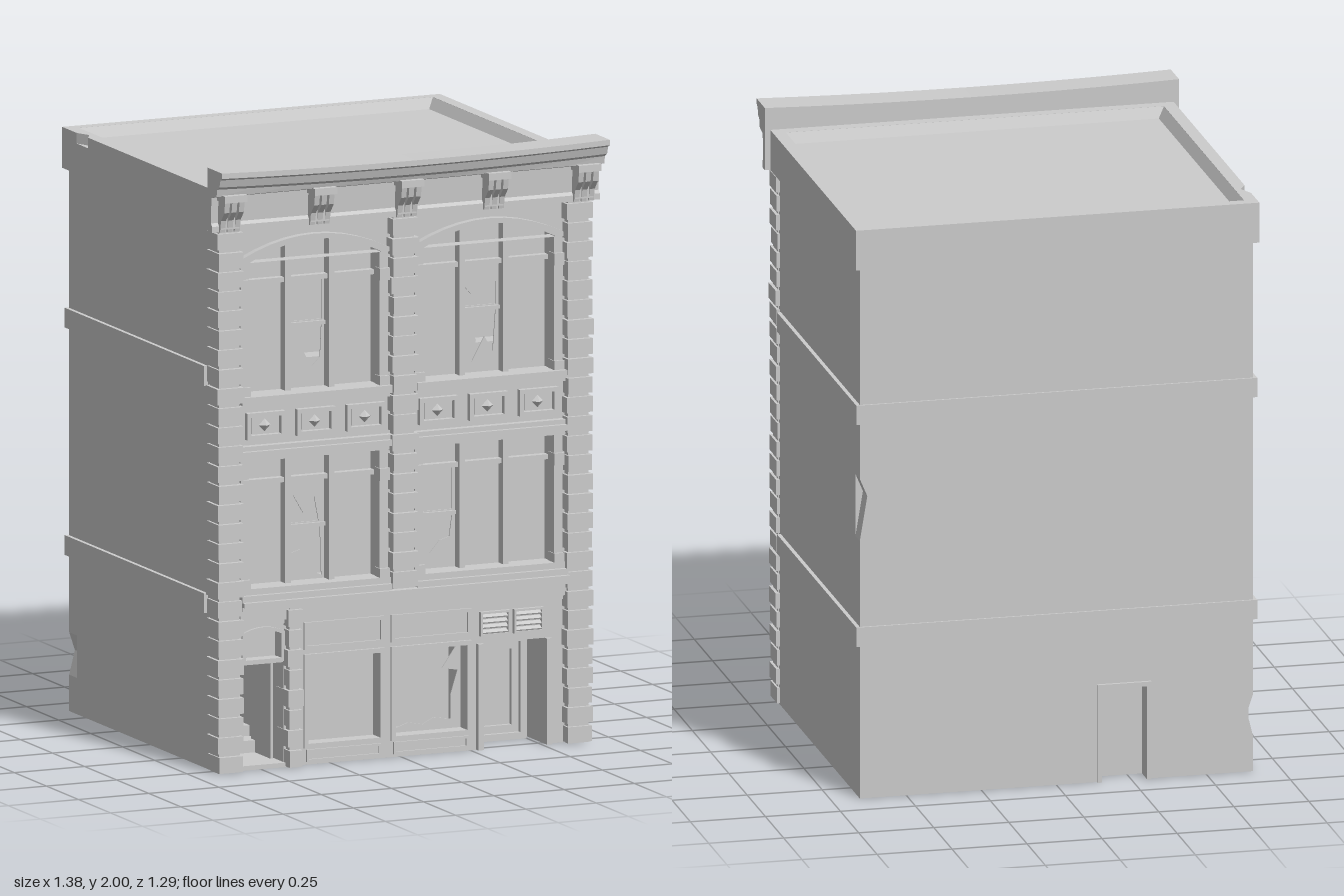
import * as THREE from 'three';

export function createModel() {
  const root = new THREE.Group();
  const mat = new THREE.MeshStandardMaterial({ color: 0xcccccc, flatShading: true, side: THREE.DoubleSide });

  const group = (name, parent = root) => {
    const g = new THREE.Group();
    g.name = name;
    parent.add(g);
    return g;
  };
  const add = (name, geo, parent = root) => {
    const m = new THREE.Mesh(geo, mat);
    m.name = name;
    parent.add(m);
    return m;
  };
  // Box given by its limits on each axis
  const box = (name, x0, x1, y0, y1, z0, z1, parent) => {
    const m = add(name, new THREE.BoxGeometry(x1 - x0, y1 - y0, z1 - z0), parent);
    m.position.set((x0 + x1) / 2, (y0 + y1) / 2, (z0 + z1) / 2);
    return m;
  };
  const poly = pts => new THREE.Shape(pts.map(p => new THREE.Vector2(p[0], p[1])));
  const rect = (x0, x1, y0, y1) => poly([[x0, y0], [x1, y0], [x1, y1], [x0, y1]]);
  const arched = (x0, x1, y0, y1, rise) => {
    const s = new THREE.Shape();
    s.moveTo(x0, y0);
    s.lineTo(x1, y0);
    s.lineTo(x1, y1);
    s.quadraticCurveTo((x0 + x1) / 2, y1 + rise * 2, x0, y1);
    s.closePath();
    return s;
  };
  // Slab in the xy plane between two depths
  const slab = (name, shape, holes, z0, z1, parent) => {
    shape.holes.push(...holes);
    const geo = new THREE.ExtrudeGeometry(shape, { depth: z1 - z0, bevelEnabled: false, curveSegments: 10 });
    return add(name, geo.translate(0, 0, z0), parent);
  };
  const frame = (name, x0, x1, y0, y1, w, z0, z1, parent) =>
    slab(name, rect(x0, x1, y0, y1), [rect(x0 + w, x1 - w, y0 + w, y1 - w)], z0, z1, parent);
  let seed = 7;
  const rand = () => (seed = (seed * 16807) % 2147483647) / 2147483647;

  // Main body with the stair passage cut through it
  slab('buildingCore', poly([[-0.655, 0], [-0.57, 0], [-0.57, 0.345], [-0.415, 0.345], [-0.415, 0],
    [0.655, 0], [0.655, 1.8], [-0.655, 1.8]]), [], -0.565, 0.38);
  // Back wall with worn corners and a door opening
  slab('backWall', poly([[-0.655, 0], [-0.3, 0], [-0.3, 0.32], [-0.15, 0.32], [-0.15, 0], [0.655, 0],
    [0.655, 0.87], [0.63, 1.02], [0.655, 1.08], [0.655, 1.8], [-0.655, 1.8],
    [-0.655, 0.26], [-0.635, 0.2], [-0.655, 0.12]]), [], -0.625, -0.565);
  slab('backDoorFrame', poly([[-0.315, 0], [-0.3, 0], [-0.3, 0.315], [-0.15, 0.315], [-0.15, 0],
    [-0.135, 0], [-0.135, 0.33], [-0.315, 0.33]]), [], -0.636, -0.59);
  for (const y of [0.515, 1.265]) box('wallBand', -0.668, 0.668, y, y + 0.065, -0.632, 0.455);

  // Parapet ring and sunken roof
  const opening = () => rect(-0.63, 0.63, -0.49, 0.605);
  const ring = (outline, y, h) => {
    outline.holes.push(opening());
    const geo = new THREE.ExtrudeGeometry(outline, { depth: h, bevelEnabled: false });
    add('parapet', geo.rotateX(-Math.PI / 2).translate(0, y, 0));
  };
  ring(rect(-0.672, 0.672, -0.53, 0.643), 1.79, 0.1);
  ring(poly([[-0.672, -0.53], [0.672, -0.53], [0.672, 0.643], [-0.672, 0.643],
    [-0.672, 0.53], [-0.65, 0.48], [-0.672, 0.44]]), 1.89, 0.035);
  const slope = new THREE.CylinderGeometry(Math.SQRT1_2, Math.SQRT1_2 * 0.965, 0.035, 4, 1, true);
  add('roofEdgeSlope', slope.rotateY(Math.PI / 4).scale(1.26, 1, 1.095).translate(0, 1.907, -0.0575));
  box('roof', -0.64, 0.64, 1.79, 1.89, -0.61, 0.5);

  // Front wall with all its openings
  const bays = [[-0.545, -0.08], [0.075, 0.54]];
  const holes = [arched(-0.555, -0.425, 0.36, 0.445, 0.015),
    rect(-0.33, -0.075, 0.07, 0.35), rect(-0.02, 0.235, 0.07, 0.35)];
  for (const [a, b] of bays) holes.push(rect(a, b, 0.6, 1.02), arched(a, b, 1.235, 1.68, 0.06));
  slab('frontWall', poly([[-0.655, 0], [-0.57, 0], [-0.57, 0.345], [-0.415, 0.345], [-0.415, 0], [0.27, 0],
    [0.27, 0.35], [0.515, 0.35], [0.515, 0], [0.655, 0], [0.655, 1.8], [-0.655, 1.8]]), holes, 0.38, 0.52);

  // Tall windows: broken glass, bars and surrounds
  const breaks = [
    [[[-0.375, 0.79], [-0.355, 0.88], [-0.32, 0.82], [-0.28, 0.87], [-0.265, 0.79]],
      [[-0.375, 0.77], [-0.26, 0.77], [-0.255, 0.61], [-0.32, 0.64], [-0.33, 0.7], [-0.365, 0.69]]],
    [[[0.095, 0.79], [0.095, 0.93], [0.21, 0.93], [0.21, 0.79]],
      [[0.1, 0.77], [0.21, 0.77], [0.2, 0.7], [0.165, 0.69], [0.13, 0.65], [0.1, 0.7]]],
    [[[-0.37, 1.455], [-0.255, 1.455], [-0.255, 1.59], [-0.37, 1.59]],
      [[-0.33, 1.435], [-0.255, 1.435], [-0.26, 1.33], [-0.29, 1.3], [-0.335, 1.38]]],
    [[[0.245, 1.53], [0.28, 1.49], [0.31, 1.48], [0.325, 1.52], [0.365, 1.53], [0.365, 1.455], [0.25, 1.455]],
      [[0.25, 1.435], [0.365, 1.435], [0.355, 1.3], [0.325, 1.35], [0.28, 1.27], [0.295, 1.34]]],
  ];
  for (let i = 0; i < 4; i++) {
    const [a, b] = bays[i % 2], upper = i > 1;
    const [y0, y1, bar, mid] = upper ? [1.235, 1.68, 1.6, 1.445] : [0.6, 1.02, 0.94, 0.78];
    const g = group(upper ? 'archedWindow' : 'squareWindow');
    const pane = upper ? arched(a, b, y0, y1, 0.06) : rect(a, b, y0, y1);
    slab('glass', pane, breaks[i].map(poly), 0.46, 0.464, g);
    const third = (b - a) / 3;
    for (const x of [a + third, b - third]) box('mullion', x - 0.01, x + 0.01, y0, upper ? 1.725 : y1, 0.45, 0.5, g);
    box('transom', a, b, bar - 0.008, bar + 0.008, 0.45, 0.49, g);
    const px = i === 1 ? a + 0.01 : a + third;
    box('paneBar', px, px + third, mid - 0.006, mid + 0.006, 0.455, 0.475, g);
    for (const [x0, x1] of [[a - 0.03, a], [b, b + 0.03]]) {
      box('jamb', x0, x1, y0, y1, 0.5, 0.535, g);
      box('jambBase', x0 - 0.003, x1 + 0.003, y0, y0 + 0.03, 0.5, 0.545, g);
      box('jambCapital', x0 - 0.003, x1 + 0.003, bar - 0.02, bar + 0.02, 0.5, 0.545, g);
    }
    if (upper) slab('archTrim', arched(a - 0.03, b + 0.03, 1.675, 1.69, 0.065),
      [arched(a, b, 1.676, 1.678, 0.06)], 0.5, 0.545, g);
  }

  // Belt mouldings and panels between the pilasters
  for (const [a, b] of [[-0.58, -0.045], [0.045, 0.58]]) {
    const g = group('spandrel');
    for (const [y0, y1, z] of [[0.56, 0.58, 0.56], [0.58, 0.6, 0.545], [1.02, 1.035, 0.54], [1.035, 1.055, 0.56],
      [1.055, 1.07, 0.545], [1.195, 1.21, 0.54], [1.21, 1.235, 0.56]]) box('moulding', a, b, y0, y1, 0.5, z, g);
    for (let k = 0; k < 3; k++) {
      const x = (a < 0 ? -0.485 : 0.13) + k * 0.178;
      frame('panelFrame', x - 0.068, x + 0.068, 1.09, 1.178, 0.014, 0.51, 0.54, g);
      box('panelField', x - 0.045, x + 0.045, 1.107, 1.161, 0.51, 0.525, g);
      const d = add('panelDiamond', new THREE.ConeGeometry(0.022, 0.018, 4), g);
      d.rotation.x = Math.PI / 2;
      d.position.set(x, 1.134, 0.533);
    }
  }
  for (const [y0, y1, z] of [[0.475, 0.49, 0.53], [0.49, 0.53, 0.545], [0.53, 0.545, 0.56], [0.545, 0.56, 0.575]])
    box('shopCornice', -0.58, 0.58, y0, y1, 0.5, z);

  // Rusticated pilasters of worn stones
  const pilaster = (x0, x1, y0, y1, n) => {
    const g = group('pilaster'), p = (y1 - y0) / n;
    box('pilasterCore', x0 + 0.005, x1 - 0.005, y0, y1, 0.48, 0.548, g);
    for (let i = 0; i < n; i++) {
      const e = (i % 2) * 0.003 + rand() * 0.003, y = y0 + i * p;
      box('stone', x0 - e, x1 + e, y + 0.004, y + p - 0.008, 0.47, 0.558 + rand() * 0.008, g);
    }
  };
  pilaster(-0.663, -0.58, 0, 1.79, 28);
  pilaster(0.58, 0.663, 0, 1.79, 28);
  pilaster(-0.042, 0.042, 0.56, 1.79, 19);
  pilaster(-0.412, -0.368, 0, 0.53, 8);

  // Crowning cornice, sagging slightly in the middle
  const profile = poly([[0.53, 1.79], [0.565, 1.79], [0.565, 1.81], [0.555, 1.82], [0.56, 1.905], [0.6, 1.915],
    [0.605, 1.94], [0.622, 1.95], [0.63, 1.975], [0.643, 1.982], [0.643, 2], [0.53, 2]]);
  const crown = new THREE.ExtrudeGeometry(profile, { depth: 1.38, steps: 10, bevelEnabled: false });
  crown.rotateY(-Math.PI / 2).translate(0.69, 0, 0);
  const pos = crown.attributes.position;
  for (let i = 0; i < pos.count; i++) {
    const x = pos.getX(i), y = pos.getY(i);
    if (y > 1.93) pos.setY(i, y - 0.012 * (1 - (x / 0.69) ** 2));
  }
  add('cornice', crown);
  const bracketSide = poly([[0.54, 1.79], [0.572, 1.79], [0.58, 1.83], [0.605, 1.86], [0.615, 1.915], [0.54, 1.915]]);
  for (const x of [-0.63, -0.31, 0, 0.31, 0.63]) {
    const g = group('bracket');
    for (const dx of [-0.026, 0, 0.026]) {
      const rib = new THREE.ExtrudeGeometry(bracketSide, { depth: 0.018, bevelEnabled: false });
      add('bracketRib', rib.rotateY(-Math.PI / 2).translate(x + dx + 0.009, 0, 0), g);
    }
    box('bracketBack', x - 0.033, x + 0.033, 1.8, 1.915, 0.54, 0.575, g);
    box('bracketCap', x - 0.04, x + 0.04, 1.895, 1.918, 0.54, 0.622, g);
  }

  // Shop front
  const shop = group('shopFront');
  const shopBreak = poly([[-0.012, 0.08], [-0.012, 0.2], [0.03, 0.21], [0.03, 0.3], [0.07, 0.32], [0.12, 0.3],
    [0.16, 0.34], [0.22, 0.34], [0.17, 0.27], [0.225, 0.26], [0.2, 0.18], [0.2, 0.1], [0.14, 0.11], [0.1, 0.09], [0.05, 0.1]]);
  slab('shopGlass', rect(-0.33, -0.075, 0.07, 0.35), [], 0.47, 0.474, shop);
  slab('shopGlass', rect(-0.02, 0.235, 0.07, 0.35), [shopBreak], 0.47, 0.474, shop);
  for (const [a, b] of [[-0.345, -0.06], [-0.035, 0.25]]) {
    frame('shopWindowFrame', a, b, 0.055, 0.365, 0.015, 0.48, 0.53, shop);
    frame('stallPanel', a + 0.01, b - 0.01, 0.01, 0.05, 0.008, 0.51, 0.527, shop);
    frame('signPanel', a, b, 0.38, 0.47, 0.012, 0.51, 0.528, shop);
  }
  // Recessed shop door and vents above it
  frame('shopDoorFrame', 0.29, 0.5, 0, 0.345, 0.022, 0.375, 0.41, shop);
  frame('shopDoorPanel', 0.312, 0.478, 0.022, 0.323, 0.025, 0.375, 0.395, shop);
  for (const x of [0.272, 0.515]) box('entryPost', x, x + 0.02, 0, 0.35, 0.4, 0.535, shop);
  for (const x of [0.28, 0.4]) {
    const g = group('vent', shop);
    frame('ventFrame', x, x + 0.105, 0.375, 0.455, 0.007, 0.51, 0.535, g);
    for (let k = 0; k < 4; k++) {
      const s = box('ventSlat', x, x + 0.105, 0.387 + k * 0.017, 0.392 + k * 0.017, 0.512, 0.534, g);
      s.rotation.x = 0.5;
    }
  }

  // Side entrance: fanlight, open door and stairs
  const entry = group('stairEntrance');
  slab('fanlight', arched(-0.555, -0.425, 0.36, 0.445, 0.015), [], 0.47, 0.474, entry);
  slab('fanlightTrim', arched(-0.565, -0.415, 0.35, 0.45, 0.018),
    [arched(-0.553, -0.427, 0.362, 0.443, 0.014)], 0.5, 0.53, entry);
  box('openDoor', -0.43, -0.42, 0.012, 0.335, 0.3, 0.45, entry);
  for (let k = 0; k < 9; k++) {
    const y = 0.02 + k * 0.035, z = 0.33 - k * 0.075;
    box('stair', -0.57, -0.415, y - 0.02, y + 0.035, z - 0.085, z, entry);
  }
  box('threshold', -0.575, -0.41, 0, 0.015, 0.33, 0.53, entry);
  return root;
}
